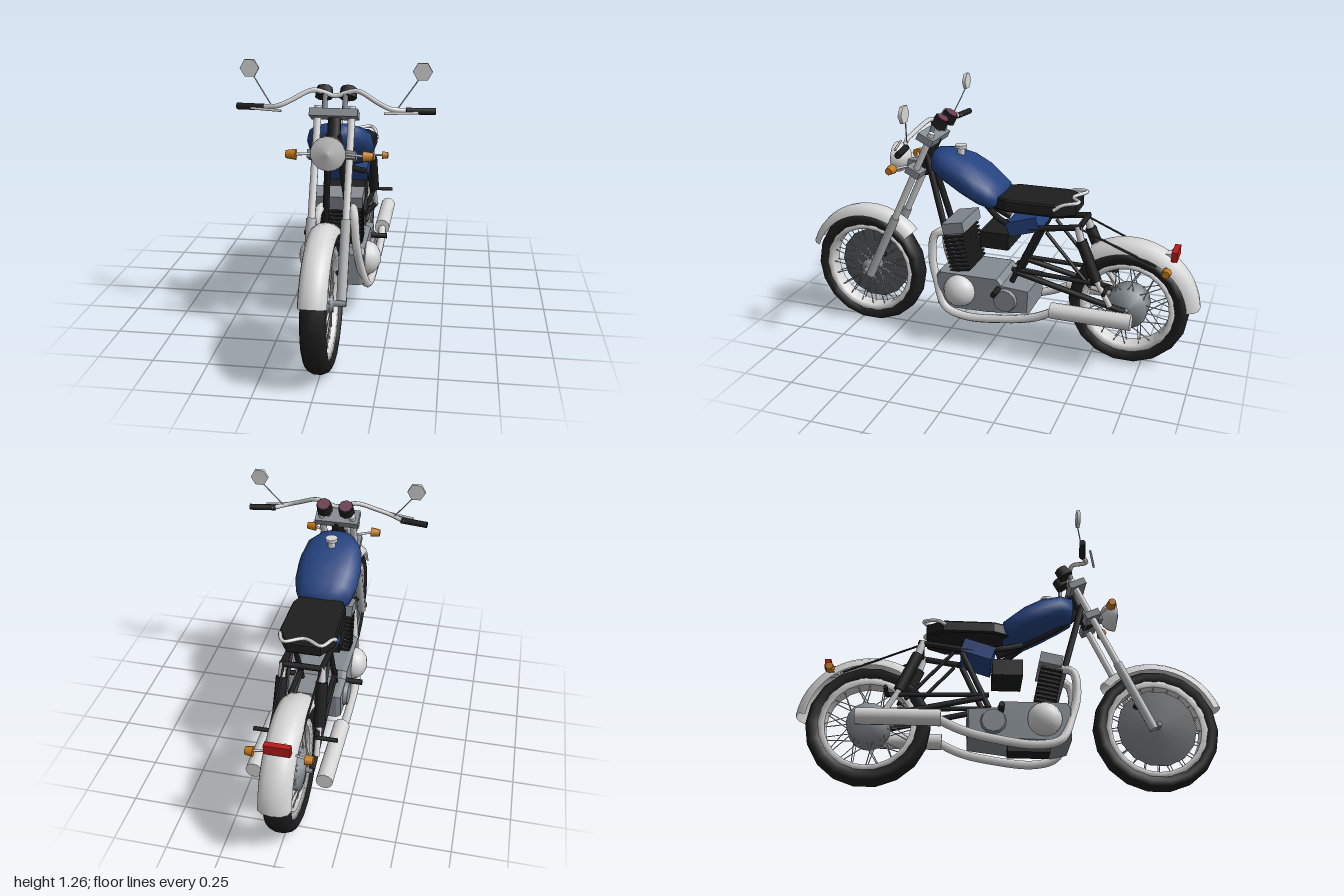
import * as THREE from 'three';

const mat = (name, color, side = THREE.FrontSide) => new THREE.MeshStandardMaterial({ name, color, side });

export function createModel() {
  const root = new THREE.Group();
  root.name = 'motorcycle';
  const black = mat('black', 0x1e1e1e), chrome = mat('chrome', 0xd6d6d6, THREE.DoubleSide);
  const steel = mat('forkSteel', 0xb2b4b7), grey = mat('engineGrey', 0x858c92);
  const dark = mat('discGrey', 0x53575b), blue = mat('bluePaint', 0x24427f);
  const orange = mat('orangeLens', 0xc87a1a), red = mat('redLens', 0xb81a1a), glass = mat('gaugeGlass', 0x6a3a4e);

  // Helpers
  const V = (x, y, z) => new THREE.Vector3(x, y, z);
  const add = (name, geo, m, x = 0, y = 0, z = 0, rx = 0, ry = 0, rz = 0) => {
    const mesh = new THREE.Mesh(geo, m);
    mesh.name = name;
    mesh.position.set(x, y, z);
    mesh.rotation.set(rx, ry, rz);
    root.add(mesh);
    return mesh;
  };
  const box = (name, m, w, h, d, x, y, z, rx = 0) => add(name, new THREE.BoxGeometry(w, h, d), m, x, y, z, rx);
  const rod = (name, m, a, b, r, r2 = r, n = 8) => {
    const d = b.clone().sub(a), mid = a.clone().lerp(b, 0.5);
    const mesh = add(name, new THREE.CylinderGeometry(r2, r, d.length(), n), m, mid.x, mid.y, mid.z);
    mesh.quaternion.setFromUnitVectors(V(0, 1, 0), d.normalize());
    return mesh;
  };
  const tube = (name, m, pts, r, n = 24) =>
    add(name, new THREE.TubeGeometry(new THREE.CatmullRomCurve3(pts.map(p => V(...p)), false, 'centripetal'), n, r, 7), m);
  // Profile of [radius, x] turned about the wheel axis; angles run from the front (+z) upward
  const turn = (name, m, profile, y, z, seg, a0 = 0, a1 = 360) => {
    const rad = Math.PI / 180;
    const geo = new THREE.LatheGeometry(profile.map(p => new THREE.Vector2(...p)), seg, -a1 * rad, (a1 - a0) * rad);
    return add(name, geo, m, 0, y, z, 0, 0, -Math.PI / 2);
  };
  // Skin over oval sections [z, centreY, halfWidth, halfHeight], from front to back
  const loft = (name, m, secs, n = 12) => {
    const pos = [], idx = [];
    secs.forEach(([z, y, w, h]) => {
      for (let j = 0; j < n; j++) {
        const t = j / n * Math.PI * 2, c = Math.cos(t), s = Math.sin(t);
        pos.push(w * Math.sign(c) * Math.abs(c) ** 0.8, y + h * Math.sign(s) * Math.abs(s) ** 0.8, z);
      }
    });
    for (let i = 0; i < secs.length - 1; i++) for (let j = 0; j < n; j++) {
      const k = (j + 1) % n, a = i * n + j, b = i * n + k;
      idx.push(a, a + n, b, b, a + n, b + n);
    }
    const geo = new THREE.BufferGeometry();
    geo.setAttribute('position', new THREE.Float32BufferAttribute(pos, 3));
    geo.setIndex(idx);
    geo.computeVertexNormals();
    return add(name, geo, m);
  };
  const sides = fn => [1, -1].forEach(fn);

  // Wheels
  const wheel = (name, y, z, R, ri, w, hubR, hubW) => {
    turn(name + 'Tyre', black, [[ri, -w * 0.7], [R - 0.035, -w], [R - 0.012, -w * 0.8], [R, -w * 0.3], [R, w * 0.3],
      [R - 0.012, w * 0.8], [R - 0.035, w], [ri, w * 0.7], [ri, -w * 0.7]], y, z, 18);
    turn(name + 'Rim', chrome, [[ri - 0.025, -w * 0.6], [ri + 0.004, -w * 0.75], [ri + 0.004, w * 0.75],
      [ri - 0.025, w * 0.6], [ri - 0.025, -w * 0.6]], y, z, 24);
    turn(name + 'Hub', grey, [[0, -hubW], [hubR, -hubW * 0.8], [hubR, hubW * 0.8], [0, hubW]], y, z, 14);
    rod(name + 'Axle', grey, V(-0.1, y, z), V(0.1, y, z), 0.014);
    sides(s => {
      for (let i = 0; i < 20; i++) {
        const a = i / 20 * Math.PI * 2, b = a + (i % 2 ? 0.35 : -0.35), r = ri - 0.015;
        rod(name + 'Spoke', chrome, V(s * hubW * 0.7, y + hubR * 0.9 * Math.sin(b), z + hubR * 0.9 * Math.cos(b)),
          V(s * w * 0.3, y + r * Math.sin(a), z + r * Math.cos(a)), 0.0025, 0.0025, 4);
      }
    });
  };
  wheel('front', 0.305, 0.69, 0.3, 0.24, 0.055, 0.045, 0.05);
  wheel('rear', 0.295, -0.67, 0.29, 0.225, 0.065, 0.1, 0.07);
  turn('brakeDisc', dark, [[0, -0.052], [0.19, -0.042], [0.19, -0.034], [0, -0.034]], 0.305, 0.69, 14);

  // Fenders
  turn('frontFender', chrome, [[0.295, -0.06], [0.322, -0.053], [0.338, -0.03], [0.343, 0], [0.338, 0.03],
    [0.322, 0.053], [0.295, 0.06]], 0.305, 0.69, 14, 20, 138);
  turn('rearFender', chrome, [[0.285, -0.075], [0.315, -0.067], [0.335, -0.04], [0.34, 0], [0.335, 0.04],
    [0.315, 0.067], [0.285, 0.075]], 0.295, -0.67, 16, 56, 174);

  // Fork and steering
  const fork = (s, y) => V(s * 0.076, y, 0.665 - (y - 0.29) * 0.468);
  sides(s => {
    rod('forkTube', chrome, fork(s, 0.55), fork(s, 1.075), 0.017, 0.017, 10);
    rod('forkSlider', steel, fork(s, 0.285), fork(s, 0.62), 0.023, 0.023, 10);
    rod('fenderBracket', black, V(s * 0.05, 0.4, 0.59), V(s * 0.075, 0.42, 0.6), 0.014);
  });
  box('upperForkClamp', grey, 0.215, 0.035, 0.085, 0, 1.045, 0.325, -0.44);
  box('lowerForkClamp', grey, 0.215, 0.035, 0.075, 0, 0.875, 0.395, -0.44);
  rod('steeringHead', black, V(0, 0.85, 0.385), V(0, 1.04, 0.31), 0.03, 0.03, 10);

  // Handlebar, grips, levers and mirrors
  const half = [[0.33, 1.067, 0.315], [0.25, 1.08, 0.35], [0.2, 1.1, 0.34], [0.1, 1.145, 0.3], [0.05, 1.135, 0.295]];
  tube('handlebar', chrome, [...half, [0, 1.12, 0.295], ...half.map(([x, y, z]) => [-x, y, z]).reverse()], 0.011, 48);
  sides(s => {
    rod('grip', black, V(s * 0.315, 1.067, 0.322), V(s * 0.443, 1.065, 0.305), 0.015);
    rod('lever', chrome, V(s * 0.225, 1.068, 0.39), V(s * 0.37, 1.067, 0.352), 0.006, 0.006, 5);
    rod('mirrorStem', chrome, V(s * 0.28, 1.08, 0.335), V(s * 0.365, 1.2, 0.297), 0.003, 0.003, 5);
    add('mirror', new THREE.CylinderGeometry(0.043, 0.043, 0.016, 6), chrome, s * 0.383, 1.237, 0.297, Math.PI / 2, Math.PI / 6);
    rod('barClamp', grey, V(s * 0.045, 1.05, 0.32), V(s * 0.045, 1.13, 0.295), 0.012);
    // Gauges facing the rider
    add('gauge', new THREE.CylinderGeometry(0.036, 0.04, 0.048, 8), black, s * 0.054, 1.128, 0.262, -0.57);
    add('gaugeFace', new THREE.CylinderGeometry(0.031, 0.031, 0.004, 8), glass, s * 0.054, 1.15, 0.248, -0.57);
  });

  // Headlight
  add('headlightShell', new THREE.SphereGeometry(0.077, 14, 6, 0, Math.PI * 2, 0, Math.PI / 2), chrome, 0, 0.917, 0.525, -Math.PI / 2);
  add('headlightLens', new THREE.ConeGeometry(0.077, 0.018, 14), chrome, 0, 0.917, 0.533, Math.PI / 2);
  box('headlightBracket', grey, 0.05, 0.03, 0.09, 0, 0.9, 0.425);

  // Indicators and tail light
  sides(s => {
    rod('frontIndicatorStem', chrome, V(s * 0.07, 0.895, 0.44), V(s * 0.15, 0.898, 0.478), 0.006);
    rod('frontIndicator', orange, V(s * 0.145, 0.898, 0.48), V(s * 0.19, 0.898, 0.48), 0.025, 0.018);
    rod('rearIndicatorStem', chrome, V(s * 0.05, 0.54, -0.84), V(s * 0.12, 0.538, -0.853), 0.005);
    rod('rearIndicator', orange, V(s * 0.112, 0.537, -0.855), V(s * 0.147, 0.537, -0.855), 0.023, 0.018);
  });
  box('tailLight', red, 0.116, 0.045, 0.028, 0, 0.59, -0.877);
  box('tailLightBracket', chrome, 0.05, 0.04, 0.05, 0, 0.57, -0.85);

  // Fuel tank, cap, seat and side cover
  loft('fuelTank', blue, [[0.305, 0.927, 0.003, 0.003], [0.3, 0.927, 0.095, 0.058], [0.24, 0.912, 0.137, 0.073],
    [0.14, 0.87, 0.156, 0.088], [0.06, 0.828, 0.154, 0.088], [0, 0.795, 0.135, 0.075],
    [-0.045, 0.785, 0.105, 0.052], [-0.05, 0.785, 0.003, 0.003]], 14);
  add('fuelCap', new THREE.CylinderGeometry(0.03, 0.03, 0.015, 10), chrome, 0, 1.002, 0.18);
  add('fuelNeck', new THREE.CylinderGeometry(0.02, 0.02, 0.06, 8), chrome, 0, 0.97, 0.18);
  const seat = new THREE.Shape([[0.08, 0], [0.122, -0.09], [0.125, -0.33], [0.075, -0.41], [-0.075, -0.41],
    [-0.125, -0.33], [-0.122, -0.09], [-0.08, 0]].map(p => new THREE.Vector2(...p)));
  add('seat', new THREE.ExtrudeGeometry(seat, { depth: 0.045, bevelSize: 0.006, bevelThickness: 0.008, bevelSegments: 1 }),
    black, 0, 0.793, 0, Math.PI / 2);
  tube('grabRail', chrome, [[-0.13, 0.775, -0.32], [-0.12, 0.802, -0.36], [-0.085, 0.812, -0.43], [0, 0.808, -0.385],
    [0.085, 0.812, -0.43], [0.12, 0.802, -0.36], [0.13, 0.775, -0.32]], 0.009, 36);
  box('sideCover', blue, 0.21, 0.07, 0.155, 0, 0.665, -0.165, 0.3);
  box('airBox', black, 0.2, 0.082, 0.145, 0, 0.575, -0.022);

  // Frame, swingarm and shocks
  tube('backbone', black, [[0, 0.93, 0.34], [0, 0.83, 0.2], [0, 0.73, 0.02], [0, 0.68, -0.08]], 0.025);
  sides(s => {
    rod('downTube', black, V(s * 0.02, 0.96, 0.355), V(s * 0.07, 0.36, 0.19), 0.016);
    tube('seatRail', black, [[s * 0.02, 0.73, 0.05], [s * 0.08, 0.68, -0.05], [s * 0.09, 0.66, -0.15], [s * 0.09, 0.695, -0.45]], 0.015);
    rod('seatPost', black, V(s * 0.085, 0.67, -0.25), V(s * 0.085, 0.37, -0.11), 0.014);
    rod('upperSwingarm', black, V(s * 0.085, 0.435, -0.11), V(s * 0.095, 0.42, -0.59), 0.012);
    rod('swingarm', black, V(s * 0.085, 0.425, -0.12), V(s * 0.095, 0.3, -0.67), 0.015);
    rod('rearStay', black, V(s * 0.09, 0.65, -0.28), V(s * 0.09, 0.4, -0.5), 0.009);
    rod('shockTop', chrome, V(s * 0.09, 0.7, -0.43), V(s * 0.093, 0.61, -0.455), 0.018);
    rod('shockSpring', black, V(s * 0.093, 0.63, -0.45), V(s * 0.098, 0.44, -0.53), 0.028);
    rod('shockRod', chrome, V(s * 0.098, 0.45, -0.525), V(s * 0.1, 0.32, -0.6), 0.014);
    rod('fenderStay', black, V(s * 0.085, 0.69, -0.43), V(s * 0.07, 0.54, -0.8), 0.005, 0.005, 5);
    rod('riderPeg', black, V(s * 0.12, 0.34, -0.055), V(s * 0.21, 0.34, -0.055), 0.014);
    rod('passengerPeg', black, V(s * 0.09, 0.418, -0.585), V(s * 0.195, 0.418, -0.585), 0.01);
  });
  rod('seatCrossTube', black, V(-0.09, 0.695, -0.44), V(0.09, 0.695, -0.44), 0.014);

  // Engine: crankcase, round covers, finned cylinders and head
  const crank = new THREE.Shape([[0.265, 0.215], [0.2, 0.2], [0, 0.205], [-0.2, 0.23], [-0.205, 0.345], [-0.07, 0.355],
    [-0.045, 0.385], [0.25, 0.385], [0.268, 0.36]].reverse().map(p => new THREE.Vector2(...p)));
  add('crankcase', new THREE.ExtrudeGeometry(crank, { depth: 0.22, bevelSize: 0.008, bevelThickness: 0.02, bevelSegments: 1 }),
    grey, 0.11, 0, 0, 0, -Math.PI / 2);
  sides(s => {
    const cover = add('engineCover', new THREE.SphereGeometry(0.082, 14, 10), chrome, s * 0.13, 0.3, 0.147);
    cover.scale.x = 0.85;
    rod('gearboxCover', grey, V(s * 0.1, 0.285, -0.09), V(s * 0.15, 0.285, -0.09), 0.07, 0.055, 12);
  });
  box('cylinderBlock', grey, 0.18, 0.26, 0.075, 0, 0.49, 0.172, 0.2);
  for (let i = 0; i < 9; i++) box('coolingFin', black, 0.225, 0.01, 0.105, 0, 0.4 + i * 0.021, 0.152 + i * 0.0043, 0.2);
  box('cylinderHead', grey, 0.235, 0.055, 0.11, 0, 0.617, 0.185, 0.2);
  box('sump', black, 0.1, 0.03, 0.2, 0, 0.185, 0.08);

  // Exhausts
  sides(s => {
    tube('exhaustPipe', chrome, [[s * 0.07, 0.585, 0.22], [s * 0.085, 0.565, 0.29], [s * 0.095, 0.44, 0.305], [s * 0.11, 0.32, 0.275],
      [s * 0.135, 0.205, 0.225], [s * 0.145, 0.172, 0.12], [s * 0.155, 0.195, -0.1], [s * 0.162, 0.23, -0.24],
      [s * 0.162, 0.282, -0.35]], 0.021, 40);
    rod('muffler', chrome, V(s * 0.162, 0.284, -0.33), V(s * 0.162, 0.284, -0.715), 0.039, 0.039, 12);
  });
  return root;
}
